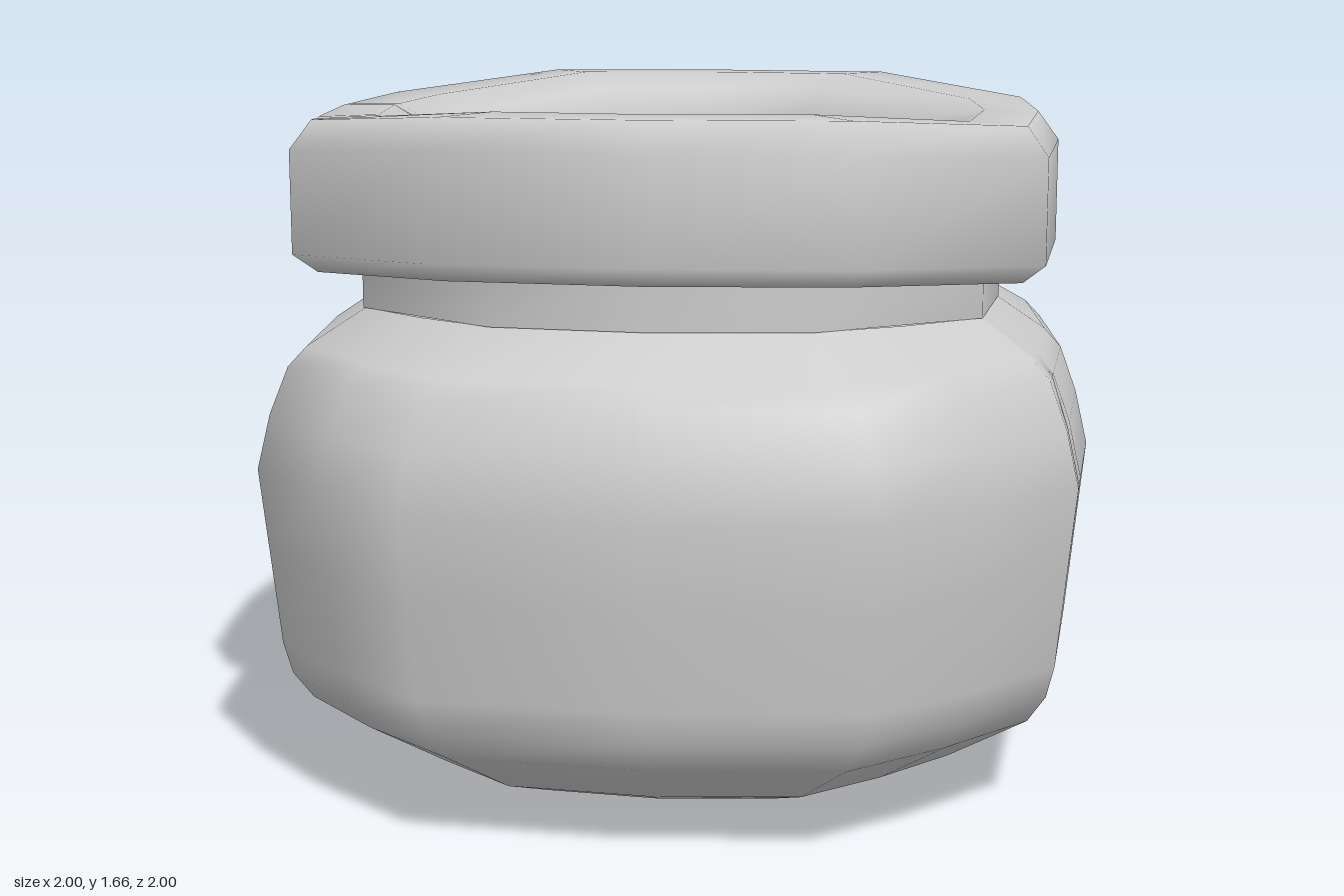
import * as THREE from 'three';

const lerp = THREE.MathUtils.lerp;

// Rounded-square outline; mid adds a vertex in each corner. s: 0 = rounder, 1 = squarer
function outline(s, mid) {
  const a = lerp(0.93, 0.96, s), b = lerp(0.38, 0.525, s), c = (a + b) / 2 * 1.02;
  const quarter = mid ? [[1, 0], [a, b], [c, c], [b, a]] : [[1, 0], [a, b], [b, a]];
  const pts = [];
  for (let q = 0; q < 4; q++) {
    for (const [x, z] of quarter) {
      pts.push(q === 0 ? [x, z] : q === 1 ? [-z, x] : q === 2 ? [-x, -z] : [z, -x]);
    }
  }
  return pts;
}

// Lofts rows of [radius, y, squareness, sag]; extra = in-between stations, dent(t, row) = [dr, dy]
function loft(name, rows, { mid = false, extra = [], dent = () => [0, 0] } = {}) {
  const n = mid ? 16 : 12;
  const ts = [...Array(n).keys(), ...extra].sort((p, q) => p - q);
  const pos = [], idx = [], m = ts.length;
  rows.forEach(([r, y, s, sag = 0], row) => {
    const o = outline(s, mid);
    for (const t of ts) {
      const i = Math.floor(t), f = t - i, p = o[i], q = o[(i + 1) % n];
      const ux = lerp(p[0], q[0], f), uz = lerp(p[1], q[1], f);
      const k = (uz * uz - ux * ux) / (ux * ux + uz * uz);
      const [dr, dy] = dent(t, row);
      pos.push(ux * (r + dr), y + dy + sag * THREE.MathUtils.clamp(k * 1.8, -1, 1), uz * (r + dr));
    }
  });
  for (let j = 0; j < rows.length - 1; j++) {
    for (let i = 0; i < m; i++) {
      const a = j * m + i, b = j * m + (i + 1) % m, c = a + m, d = b + m;
      idx.push(a, c, b, b, c, d);
    }
  }
  const geo = new THREE.BufferGeometry();
  geo.setAttribute('position', new THREE.Float32BufferAttribute(pos, 3));
  geo.setIndex(idx);
  geo.computeVertexNormals();
  const mesh = new THREE.Mesh(geo, new THREE.MeshStandardMaterial({ color: 0xcccccc, side: THREE.DoubleSide }));
  mesh.name = name;
  return mesh;
}

export function createModel() {
  const pot = new THREE.Group();
  pot.name = 'pot';

  // Bulging body, with a small chip on the left side
  pot.add(loft('body', [
    [0.001, 0.0, 0.6], [0.57, 0.035, 0.6], [0.71, 0.09, 0.7], [0.9, 0.22, 0.85],
    [0.94, 0.29, 0.95], [0.957, 0.37, 1], [0.98, 0.6, 1], [1, 0.8, 1], [0.97, 0.93, 1],
    [0.93, 1.04, 0.95], [0.89, 1.085, 0.9], [0.77, 1.175, 0.6, 0.01],
  ], {
    mid: true,
    extra: [0.76, 0.84, 0.92],
    dent: (t, row) => t === 0.84 ? [row === 8 ? -0.06 : row === 7 ? -0.03 : 0, 0] : [0, 0],
  }));

  // Recessed neck
  pot.add(loft('neck', [[0.775, 1.175, 0.6, 0.01], [0.775, 1.31, 0.6, 0.02]]));

  // Thick rolled rim, with a notch outside and a crack across the top on the right
  pot.add(loft('rim', [
    [0.74, 1.285, 0.6, 0.02], [0.86, 1.28, 0.9, 0.02], [0.91, 1.325, 1, 0.02],
    [0.91, 1.57, 1, 0.02], [0.86, 1.638, 1, 0.02], [0.73, 1.64, 0.7, 0.02],
    [0.66, 1.6, 0.4, 0.02], [0.62, 1.52, 0.2, 0.02], [0.6, 1.27, 0, 0.02],
  ], {
    extra: [5.07, 5.14, 5.22, 5.94, 6.05, 6.12],
    dent: (t, row) => {
      if (t === 5.14) return [[0, 0, 0, -0.06, -0.03][row] || 0, row === 4 ? -0.03 : 0];
      if (t === 6.05) return [row === 6 || row === 7 ? 0.025 : 0, row === 5 ? -0.03 : row === 6 ? -0.04 : 0];
      return [0, 0];
    },
  }));

  // Hollow inside
  pot.add(loft('cavity', [
    [0.6, 1.27, 0, 0.02], [0.72, 1.12, 0.3], [0.85, 0.95, 0.6], [0.9, 0.75, 0.8], [0.86, 0.5, 0.8],
    [0.76, 0.33, 0.6], [0.6, 0.21, 0.4], [0.35, 0.12, 0.3], [0.001, 0.08, 0.3],
  ], { mid: false }));

  return pot;
}
